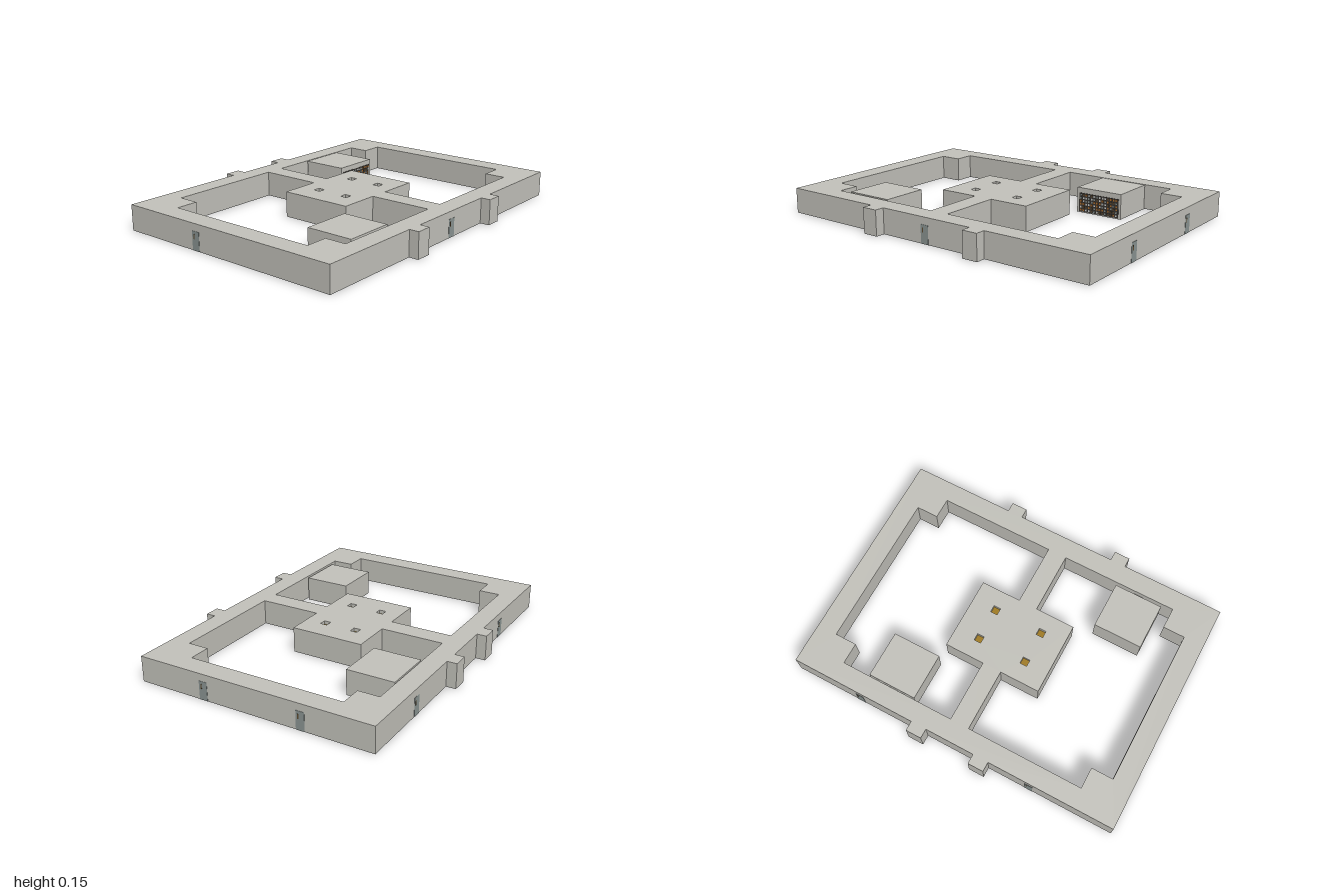
import * as THREE from 'three';

const H = 0.148;      // wall height
const FLOOR = 0.002;  // thickness of the floor layer

const mat = (name, color) => {
  const m = new THREE.MeshStandardMaterial({ color });
  m.name = name;
  return m;
};

export function createModel() {
  const root = new THREE.Group();
  root.name = 'building';

  const stone = mat('pale stone', 0xc4c3bc);
  const floorMat = mat('floor grey', 0x868b8b);
  const doorMat = mat('door grey', 0x8b9593);
  const brown = mat('handle brown', 0x5f4c30);
  const gold = mat('lamp gold', 0xa07a1c);
  const dark = mat('dark shelf', 0x3a3632);
  const orange = mat('orange', 0xb5722e);
  const pale = mat('pale label', 0xd6d8d6);

  const add = (parent, name, geometry, material, x = 0, y = 0, z = 0) => {
    const mesh = new THREE.Mesh(geometry, material);
    mesh.name = name;
    mesh.position.set(x, y, z);
    parent.add(mesh);
    return mesh;
  };
  const box = (parent, name, material, w, h, d, x, y, z) =>
    add(parent, name, new THREE.BoxGeometry(w, h, d), material, x, y, z);

  // Plan of the corridors: points are (x, -z)
  const points = (list) => list.map(([x, y]) => new THREE.Vector2(x, y));
  const plan = new THREE.Shape(points([
    [-1, -0.703], [-0.39, -0.703], [-0.39, -0.76], [-0.297, -0.76], [-0.297, -0.703],
    [0.297, -0.703], [0.297, -0.76], [0.39, -0.76], [0.39, -0.703], [1, -0.703],
    [1, 0.703], [0.242, 0.703], [0.242, 0.76], [0.148, 0.76], [0.148, 0.703],
    [-0.148, 0.703], [-0.148, 0.76], [-0.242, 0.76], [-0.242, 0.703], [-1, 0.703],
  ]));

  // Two mirrored courtyards around the central room
  const court = [
    [0.057, 0.588], [0.75, 0.588], [0.75, 0.463], [0.88, 0.463],
    [0.88, -0.463], [0.75, -0.463], [0.75, -0.588], [0.057, -0.588],
    [0.057, -0.218], [0.295, -0.218], [0.295, 0.218], [0.057, 0.218],
  ];
  for (const s of [1, -1]) {
    plan.holes.push(new THREE.Path(points(court.map(([x, y]) => [s * x, y]))));
  }

  // Square wells in the central room, each holding a lamp
  const r = 0.021;
  for (const x of [-0.148, 0.148]) {
    for (const z of [-0.098, 0.098]) {
      plan.holes.push(new THREE.Path(points([
        [x - r, -z - r], [x + r, -z - r], [x + r, -z + r], [x - r, -z + r],
      ])));
      box(root, 'lamp', gold, 2 * r, 0.128, 2 * r, x, 0.064, z);
    }
  }

  const slab = (name, depth, y, material) => {
    const g = new THREE.ExtrudeGeometry(plan, { depth, bevelEnabled: false });
    g.rotateX(-Math.PI / 2);
    add(root, name, g, material, 0, y, 0);
  };
  slab('floor', FLOOR, 0, floorMat);
  slab('corridorWalls', H - FLOOR, FLOOR, stone);

  // Free-standing rooms, joined to the outer walls by a short doorway
  const room = (name, x, z, linkX, linkZ, linkD) => {
    const g = new THREE.Group();
    g.name = name;
    root.add(g);
    box(g, 'roomFloor', floorMat, 0.29, FLOOR, 0.28, x, FLOOR / 2, z);
    box(g, 'roomWalls', stone, 0.29, H - FLOOR, 0.28, x, (H + FLOOR) / 2, z);
    box(g, 'doorway', stone, 0.056, 0.11, linkD, linkX, 0.055, linkZ);
    return g;
  };
  const backRoom = room('backRoom', 0.44, -0.44, 0.435, -0.584, 0.008);
  const frontRoom = room('frontRoom', -0.54, 0.43, -0.537, 0.579, 0.018);
  box(frontRoom, 'floorLabel', pale, 0.05, 0.002, 0.04, -0.62, 0, 0.353);

  // Shelf panel filled with small items
  const face = -0.30;
  box(backRoom, 'shelfPanel', dark, 0.262, 0.112, 0.002, 0.44, 0.062, face + 0.001);
  let seed = 7;
  const random = () => (seed = (seed * 16807) % 2147483647) / 2147483647;
  const items = [orange, pale, doorMat, brown, orange];
  for (let row = 0; row < 6; row++) {
    for (let col = 0; col < 14; col++) {
      const m = items[Math.floor(random() * items.length)];
      box(backRoom, 'shelfItem', m, 0.010, 0.010, 0.002,
        0.44 + (col - 6.5) * 0.0182, 0.062 + (row - 2.5) * 0.018, face + 0.003);
    }
  }

  // Outer doors, built facing +z and turned to their wall
  const door = (x, z, angle) => {
    const g = new THREE.Group();
    g.name = 'door';
    g.position.set(x, 0, z);
    g.rotation.y = angle;
    root.add(g);
    box(g, 'doorLeaf', doorMat, 0.05, 0.106, 0.003, 0, 0.053, 0);
    box(g, 'doorHandle', brown, 0.007, 0.028, 0.003, -0.011, 0.076, 0.001);
  };
  door(-0.003, 0.703, 0);
  door(-0.49, -0.703, Math.PI);
  door(0.585, -0.703, Math.PI);
  door(1, 0.295, Math.PI / 2);
  door(1, -0.293, Math.PI / 2);
  door(-1, -0.19, -Math.PI / 2);

  // Small square lights set into the underside
  const spots = [[-0.24, 0], [0.24, 0]];
  for (const x of [-0.81, 0.81]) for (const z of [-0.525, 0.525]) spots.push([x, z]);
  for (const [x, z] of spots) {
    box(root, 'undersideFrame', brown, 0.06, 0.002, 0.06, x, 0, z);
    box(root, 'undersideLight', orange, 0.03, 0.002, 0.03, x, -0.0005, z);
  }

  return root;
}
